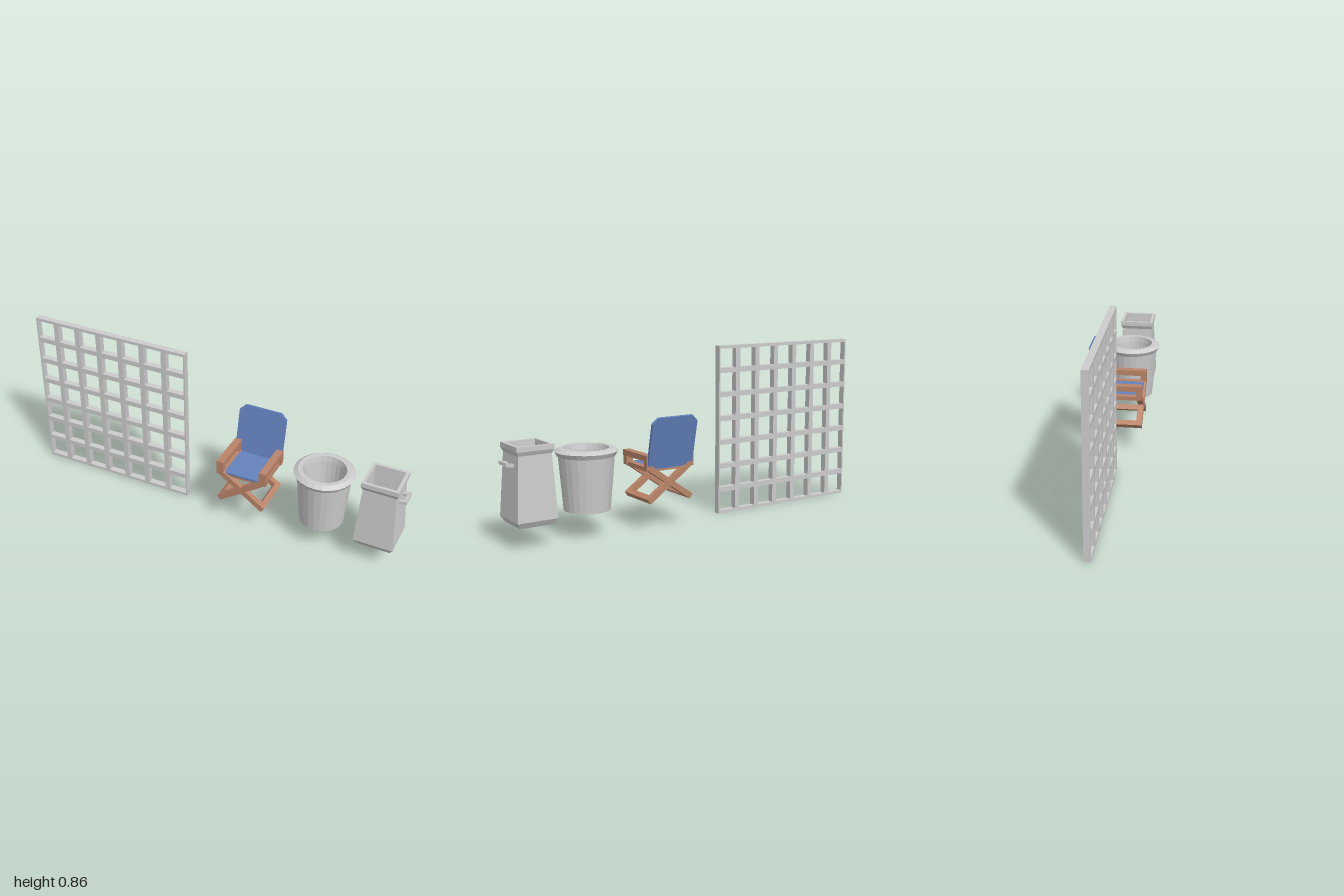
import * as THREE from 'three';

const material = (color) => new THREE.MeshStandardMaterial({ color, flatShading: true, side: THREE.DoubleSide });

export function createModel() {
  const root = new THREE.Group();
  const grey = material(0xcccccc);
  const wood = material(0xb98468);
  const cloth = material(0x6482bd);

  const add = (parent, name, geometry, mat, x = 0, y = 0, z = 0) => {
    const mesh = new THREE.Mesh(geometry, mat);
    mesh.name = name;
    mesh.position.set(x, y, z);
    parent.add(mesh);
    return mesh;
  };
  const box = (parent, name, mat, w, h, d, x, y, z) =>
    add(parent, name, new THREE.BoxGeometry(w, h, d), mat, x, y, z);
  const group = (name, x, z) => {
    const g = new THREE.Group();
    g.name = name;
    g.position.set(x, 0, z);
    root.add(g);
    return g;
  };
  const polygon = (points) => points.map(([x, y]) => new THREE.Vector2(x, y));

  // Lattice panel: one slab pierced by a 7 by 7 grid of square holes
  const x0 = -1, x1 = -0.155, height = 0.855, depth = 0.032, hole = 0.096;
  const panel = new THREE.Shape(polygon([[x0, 0], [x1, 0], [x1, height], [x0, height]]));
  for (let i = 0; i < 7; i++) {
    for (let j = 0; j < 7; j++) {
      const cx = (x0 + x1) / 2 + (i - 3) * 0.1222;
      const cy = height / 2 + (j - 3) * 0.1215;
      const r = hole / 2;
      panel.holes.push(new THREE.Path(polygon([
        [cx - r, cy - r], [cx - r, cy + r], [cx + r, cy + r], [cx + r, cy - r]])));
    }
  }
  add(root, 'latticePanel', new THREE.ExtrudeGeometry(panel, { depth, bevelEnabled: false }), grey, 0, 0, -depth / 2);

  // Folding chair
  const chair = group('foldingChair', 0.194, 0);
  const frontZ = 0.1, rearZ = -0.092, midZ = (frontZ + rearZ) / 2;
  for (const side of [-1, 1]) {
    // Armrest with its two short posts
    box(chair, 'armrest', wood, 0.037, 0.028, 0.222, side * 0.113, 0.351, 0.004);
    for (const z of [frontZ, rearZ]) {
      box(chair, 'armPost', wood, 0.036, 0.045, 0.03, side * 0.113, 0.316, z);
      // Crossed legs, one slightly slimmer so that the faces do not coincide
      const leg = box(chair, 'crossLeg', wood, 0.29, 0.028, side > 0 ? 0.03 : 0.028, 0, 0.225, z);
      leg.rotation.z = side * 0.61;
    }
    // Foot rail joining the front and rear legs
    const rail = box(chair, 'footRail', wood, 0.028, 0.027, frontZ - rearZ, side * 0.107, 0.15, midZ);
    rail.rotation.z = -side * 0.61;
    box(chair, 'seatRail', wood, 0.03, 0.02, frontZ - rearZ, side * 0.108, 0.297, midZ);
  }
  box(chair, 'seatBase', wood, 0.2, 0.01, 0.2, 0, 0.29, midZ);
  box(chair, 'seat', cloth, 0.19, 0.01, 0.2, 0, 0.3, midZ);

  // Leaning backrest with clipped upper corners
  const back = new THREE.Shape(polygon([
    [-0.125, 0], [0.125, 0], [0.125, 0.225], [0.095, 0.254], [-0.095, 0.254], [-0.125, 0.225]]));
  const backrest = add(chair, 'backrest',
    new THREE.ExtrudeGeometry(back, { depth: 0.014, bevelEnabled: false }), cloth, 0, 0.3, -0.104);
  backrest.rotation.x = -0.215;

  // Round tub: outside wall, rim, then the tapered inside down to its floor
  const tub = group('roundTub', 0.583, 0.01);
  add(tub, 'tubBody', new THREE.LatheGeometry(polygon([
    [0, 0.125], [0.11, 0.125], [0.132, 0.383], [0.138, 0.383], [0.149, 0.404],
    [0.128, 0.418], [0.106, 0.418], [0.1, 0.39], [0.079, 0.19], [0, 0.19]]), 24), grey);

  // Square bin: the same kind of profile turned on four sides
  const bin = group('squareBin', 0.878, 0.01);
  const binProfile = [
    [0, 0.102], [0.082, 0.102], [0.098, 0.13], [0.081, 0.427], [0.09, 0.446],
    [0.09, 0.469], [0.074, 0.469], [0.062, 0.18], [0, 0.18]]
    .map(([r, y]) => [r * Math.SQRT2, y]);
  add(bin, 'binBody', new THREE.LatheGeometry(polygon(binProfile), 4, Math.PI / 4), grey);

  // Handle on the bin's left side: a bar on two arms
  const handle = new THREE.Group();
  handle.name = 'binHandle';
  handle.position.set(0.084, 0.38, 0);
  handle.rotation.z = 0.18;
  bin.add(handle);
  box(handle, 'handleBar', grey, 0.014, 0.015, 0.084, 0.03, 0, 0);
  for (const side of [-1, 1]) {
    box(handle, 'handleArm', grey, 0.036, 0.014, 0.02, 0.01, 0, side * 0.032);
  }

  return root;
}
